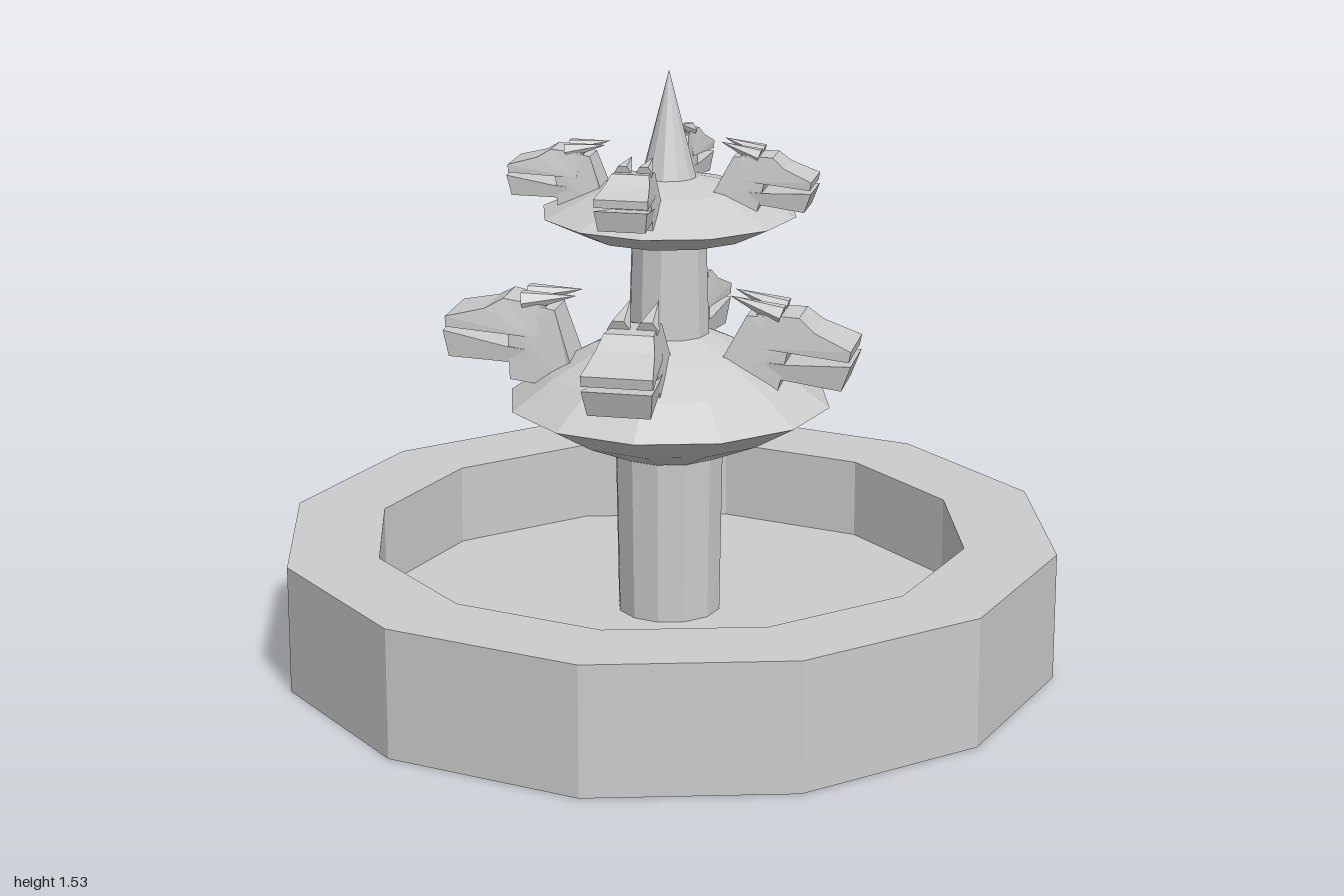
import * as THREE from 'three';

const SIDES = 12;
const mat = new THREE.MeshStandardMaterial({ color: 0xcccccc, flatShading: true });

function add(parent, name, geometry) {
  const mesh = new THREE.Mesh(geometry, mat);
  mesh.name = name;
  parent.add(mesh);
  return mesh;
}

// Faceted turned part from [radius, height] pairs, listed bottom to top on the outside
function turned(parent, name, profile) {
  return add(parent, name, new THREE.LatheGeometry(profile.map(([r, y]) => new THREE.Vector2(r, y)), SIDES));
}

// Side profile extruded sideways; halfWidth(x, y) shapes its thickness
function slab(profile, halfWidth) {
  const shape = new THREE.Shape(profile.map(([x, y]) => new THREE.Vector2(x, y)));
  const geo = new THREE.ExtrudeGeometry(shape, { depth: 2, bevelEnabled: false });
  geo.translate(0, 0, -1);
  const p = geo.attributes.position;
  for (let i = 0; i < p.count; i++) p.setZ(i, p.getZ(i) * halfWidth(p.getX(i), p.getY(i)));
  geo.computeVertexNormals();
  return geo;
}

// Spout head facing +x, with its origin at the back of the mouth
const PIVOT = [0.3, 0.82];
const local = (pts) => pts.map(([x, y]) => [x - PIVOT[0], y - PIVOT[1]]);
const neckGeo = slab(
  local([[0.13, 0.74], [0.295, 0.73], [0.325, 0.86], [0.3, 0.93], [0.215, 0.93], [0.14, 0.79]]),
  (x, y) => 0.07 - Math.max(0, y) * 0.15);
const upperJawGeo = slab(
  local([[0.25, 0.85], [0.32, 0.845], [0.48, 0.833], [0.485, 0.86], [0.39, 0.9], [0.35, 0.933], [0.24, 0.935]]),
  (x, y) => 0.07 + x * 0.11 - Math.max(0, y - 0.05) * 0.2);
const lowerJawGeo = slab(
  local([[0.27, 0.775], [0.33, 0.77], [0.46, 0.755], [0.485, 0.822], [0.32, 0.813], [0.27, 0.815]]),
  (x, y) => 0.07 + x * 0.1 + Math.min(0, y + 0.02) * 0.15);
const hornGeo = new THREE.ConeGeometry(0.03, 0.14, 6);

function makeSpout(name) {
  const g = new THREE.Group();
  g.name = name;
  add(g, 'neck', neckGeo);
  add(g, 'upperJaw', upperJawGeo);
  add(g, 'lowerJaw', lowerJawGeo);
  for (const s of [-1, 1]) {
    const horn = add(g, 'horn', hornGeo);
    horn.position.set(-0.065, 0.133, s * 0.036);
    horn.rotation.z = 1.24;
  }
  return g;
}

// Four spouts around a tier: [turn, reach, side shift, height, pitch]
function spoutTier(parent, name, scale, list) {
  const tier = new THREE.Group();
  tier.name = name;
  for (const [turn, reach, shift, y, pitch] of list) {
    const arm = new THREE.Group();
    arm.name = 'spoutMount';
    arm.rotation.y = turn;
    const spout = makeSpout('spout');
    spout.position.set(reach, y, shift);
    spout.rotation.z = pitch;
    spout.scale.setScalar(scale);
    arm.add(spout);
    tier.add(arm);
  }
  parent.add(tier);
}

export function createModel() {
  const model = new THREE.Group();
  model.name = 'fountain';

  // Basin and column
  turned(model, 'basin', [[0, 0], [1, 0], [1, 0.33], [0.765, 0.33], [0.765, 0.12], [0, 0.12]]);
  turned(model, 'lowerColumn', [[0.133, 0.12], [0.14, 0.56]]);
  turned(model, 'upperColumn', [[0.105, 0.82], [0.095, 1.14]]);

  // Bowls with domed tops
  turned(model, 'lowerBowl', [
    [0, 0.545], [0.145, 0.545], [0.29, 0.608], [0.415, 0.68], [0.31, 0.755], [0.2, 0.815], [0.1, 0.86], [0, 0.86]]);
  turned(model, 'upperBowl', [
    [0, 1.12], [0.22, 1.12], [0.325, 1.17], [0.18, 1.235], [0.07, 1.26], [0, 1.26]]);

  // Finial
  turned(model, 'finial', [[0.075, 1.24], [0, 1.53]]);

  // Spouts: left side, back, right side, front
  const q = Math.PI / 2;
  spoutTier(model, 'lowerSpouts', 1, [
    [0, 0.3, 0.026, 0.82, 0],
    [q, 0.305, -0.024, 0.82, 0.03],
    [2 * q, 0.386, -0.013, 0.82, 0.18],
    [-q, 0.28, 0.03, 0.82, 0],
  ]);
  spoutTier(model, 'upperSpouts', 0.74, [
    [0, 0.24, 0.03, 1.25, 0],
    [q, 0.228, -0.024, 1.25, 0],
    [2 * q, 0.265, -0.013, 1.24, 0.14],
    [-q, 0.28, 0.03, 1.24, 0.12],
  ]);

  return model;
}
